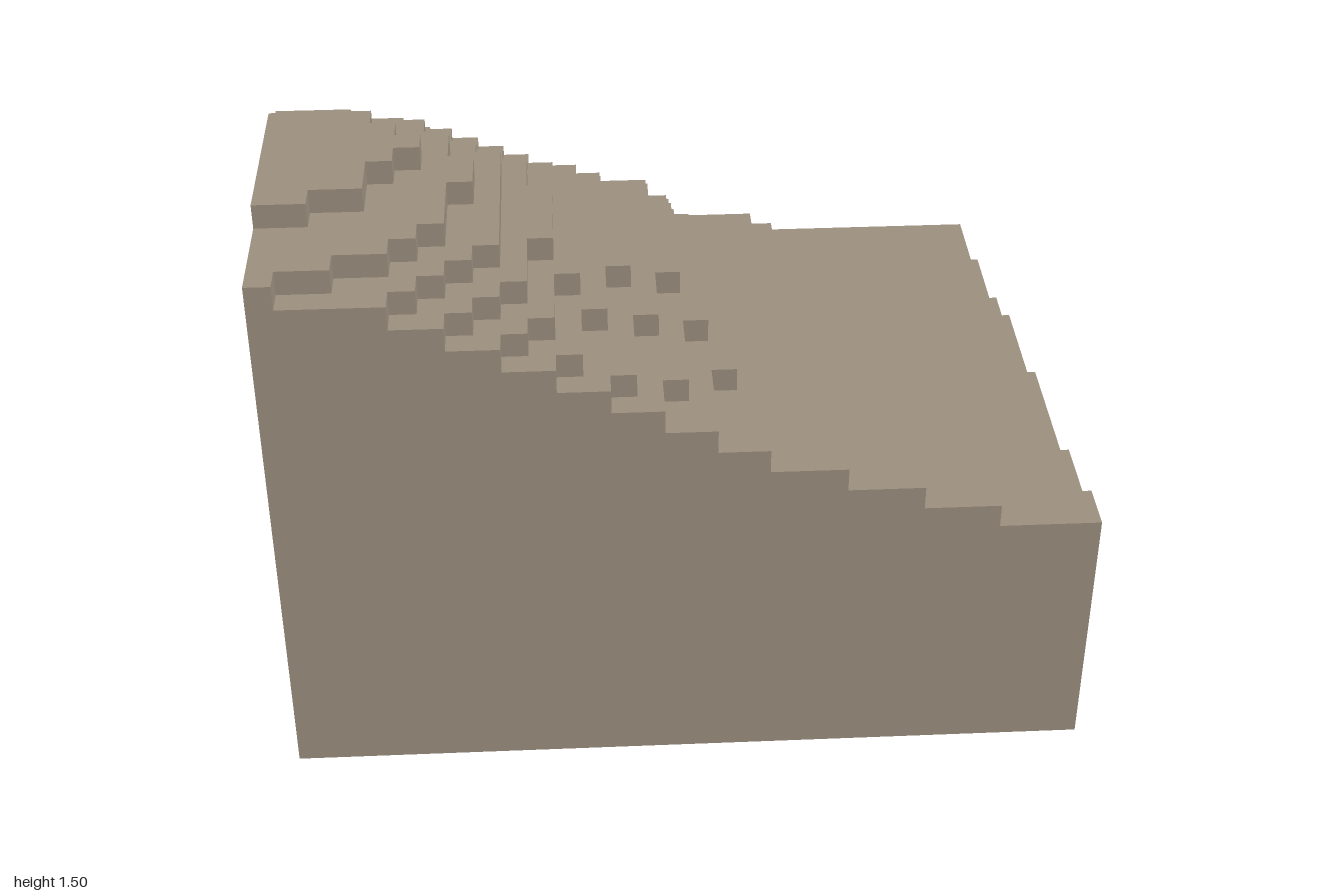
import * as THREE from 'three';

const N = 32;          // cells along each side
const S = 2 / N;       // size of one cubic step

// Control heights, in steps, at these cell positions along x and z (rows run back to front)
const KNOTS = [0, 3, 6, 9, 12, 15, 18, 21, 24, 28, 32];
const HEIGHTS = [
  [9.4, 9, 8.5, 8, 7.5, 7, 6.4, 5.85, 5.6, 5.4, 5.2],
  [10.5, 10, 9.5, 9.05, 8.55, 8, 7, 6.5, 5.9, 5.7, 5.5],
  [12, 11.7, 11.4, 11, 10.3, 9.35, 8.2, 7.6, 7.15, 6.7, 6.25],
  [14.1, 14, 13.8, 13.5, 12.7, 11.3, 9.7, 8.2, 7.7, 7.1, 6.8],
  [16.1, 16, 15.8, 15.5, 15.1, 14.4, 11.7, 9.4, 8.5, 7.95, 7.7],
  [19.1, 18.8, 18.5, 18.1, 17.5, 16.7, 13.4, 10, 8.85, 8.4, 8.35],
  [22.1, 22, 21.4, 20.2, 19.3, 18.3, 15.4, 11.6, 9.5, 8.95, 8.85],
  [24.1, 24.05, 23.6, 21.8, 20, 18.5, 16, 12.5, 10.3, 9.6, 9.25],
  [24.4, 24.4, 24, 22.5, 20, 18.5, 16, 14, 11.7, 10.35, 9.6],
  [24, 23.9, 23.3, 21.8, 19.4, 17.5, 15.7, 13.75, 12.3, 10.95, 10.4],
  [23.2, 22.5, 21.5, 20, 18.5, 17, 15.5, 14.3, 13.5, 12.2, 11.6],
];

// Knot interval and fraction for a position
function locate(p) {
  let k = 0;
  while (k < KNOTS.length - 2 && p >= KNOTS[k + 1]) k++;
  return [k, (p - KNOTS[k]) / (KNOTS[k + 1] - KNOTS[k])];
}

// Whole-step height of a cell; zero outside the block
function cellHeight(i, j) {
  if (i < 0 || j < 0 || i >= N || j >= N) return 0;
  const [a, u] = locate(i + 0.5);
  const [b, v] = locate(j + 0.5);
  const lerp = THREE.MathUtils.lerp;
  const back = lerp(HEIGHTS[b][a], HEIGHTS[b][a + 1], u);
  const front = lerp(HEIGHTS[b + 1][a], HEIGHTS[b + 1][a + 1], u);
  return Math.min(24, Math.floor(lerp(back, front, v)));
}

function terrainGeometry() {
  const pos = [];
  const quad = (a, b, c, d) => pos.push(...a, ...b, ...c, ...a, ...c, ...d);

  for (let j = 0; j < N; j++) {
    for (let i = 0; i < N; i++) {
      const h = cellHeight(i, j);
      const y = h * S;
      const x = (i + 0.5) * S - 1;
      const z = (j + 0.5) * S - 1;
      const r = S / 2;

      // Tread
      quad([x - r, y, z + r], [x + r, y, z + r], [x + r, y, z - r], [x - r, y, z - r]);

      // Risers and outer walls, wherever the neighbouring cell is lower
      for (const [dx, dz] of [[1, 0], [-1, 0], [0, 1], [0, -1]]) {
        const low = cellHeight(i + dx, j + dz) * S;
        if (low >= y) continue;
        const cx = x + dx * r, cz = z + dz * r;
        const tx = dz * r, tz = -dx * r;
        quad([cx - tx, low, cz - tz], [cx + tx, low, cz + tz],
          [cx + tx, y, cz + tz], [cx - tx, y, cz - tz]);
      }
    }
  }

  // Underside
  quad([-1, 0, -1], [1, 0, -1], [1, 0, 1], [-1, 0, 1]);

  const geometry = new THREE.BufferGeometry();
  geometry.setAttribute('position', new THREE.Float32BufferAttribute(pos, 3));
  geometry.computeVertexNormals();
  return geometry;
}

export function createModel() {
  const stone = new THREE.MeshStandardMaterial({ color: 0x9c907f });
  stone.name = 'stone';

  const terrain = new THREE.Mesh(terrainGeometry(), stone);
  terrain.name = 'steppedHillside';

  const group = new THREE.Group();
  group.name = 'terrainBlock';
  group.add(terrain);
  return group;
}
